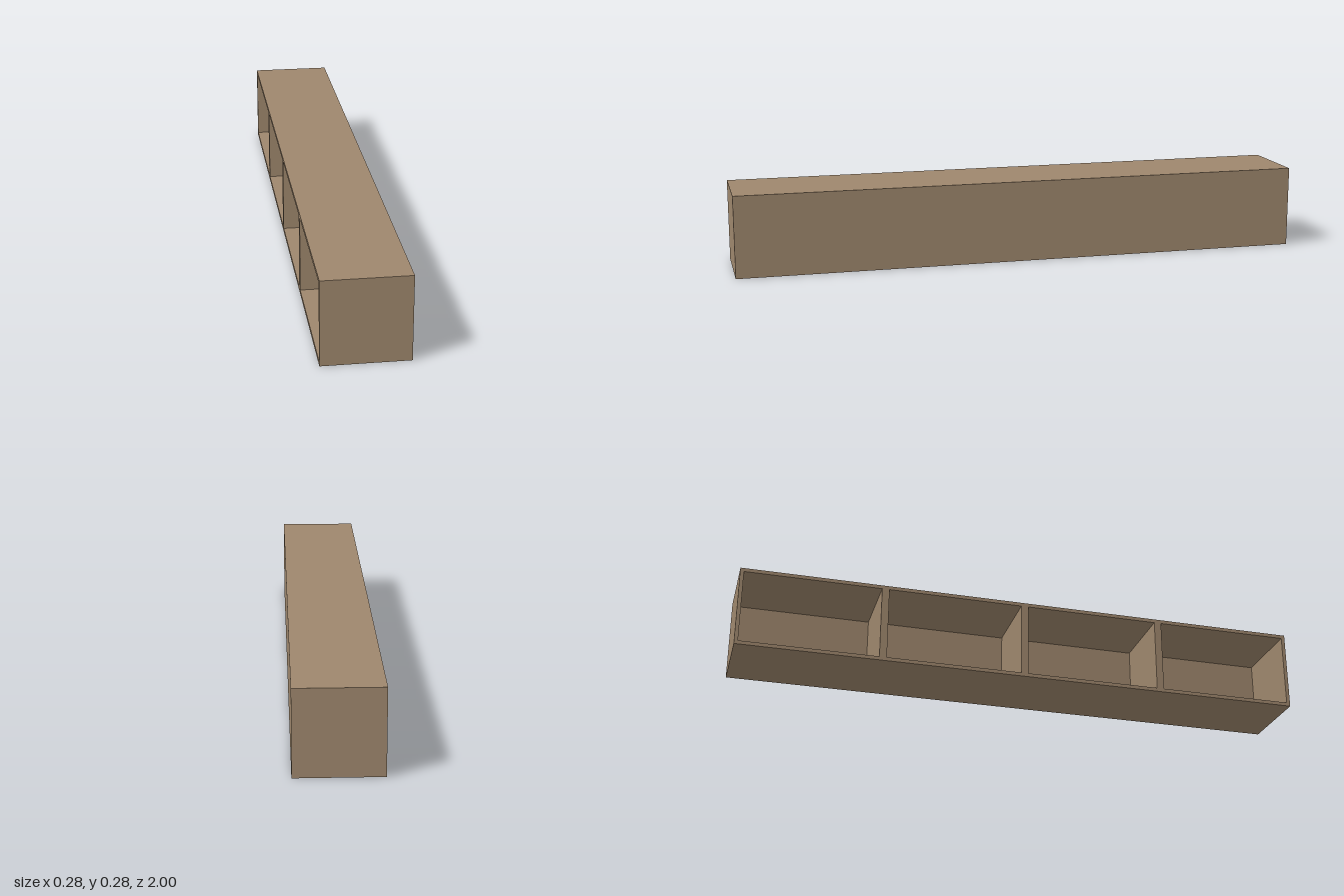
import * as THREE from 'three';

const LENGTH = 2, SIZE = 0.284, WALL = 0.0128, BAYS = 4;

// Adds a rectangle to a shape or hole path
function rect(path, x0, y0, x1, y1) {
  path.moveTo(x0, y0);
  path.lineTo(x1, y0);
  path.lineTo(x1, y1);
  path.lineTo(x0, y1);
  path.closePath();
  return path;
}

export function createModel() {
  const model = new THREE.Group();
  model.name = 'openShelfUnit';
  const wood = new THREE.MeshStandardMaterial({ color: 0x9e876d });
  wood.name = 'brownWood';

  // Carcass: top, bottom, ends and dividers as one frame with four openings
  const outline = rect(new THREE.Shape(), -LENGTH / 2, 0, LENGTH / 2, SIZE);
  const bay = LENGTH / BAYS;
  for (let i = 0; i < BAYS; i++) {
    const start = -LENGTH / 2 + i * bay;
    outline.holes.push(rect(new THREE.Path(), start + WALL, WALL, start + bay - WALL, SIZE - WALL));
  }
  const frameGeometry = new THREE.ExtrudeGeometry(outline, { depth: SIZE - WALL, bevelEnabled: false });
  frameGeometry.rotateY(-Math.PI / 2);
  const frame = new THREE.Mesh(frameGeometry, wood);
  frame.name = 'frameWithDividers';
  frame.position.x = SIZE / 2 - WALL;
  model.add(frame);

  // Closed long side on +x; the openings face -x
  const panel = new THREE.Mesh(new THREE.BoxGeometry(WALL, SIZE, LENGTH), wood);
  panel.name = 'closedSidePanel';
  panel.position.set(SIZE / 2 - WALL / 2, SIZE / 2, 0);
  model.add(panel);

  return model;
}
